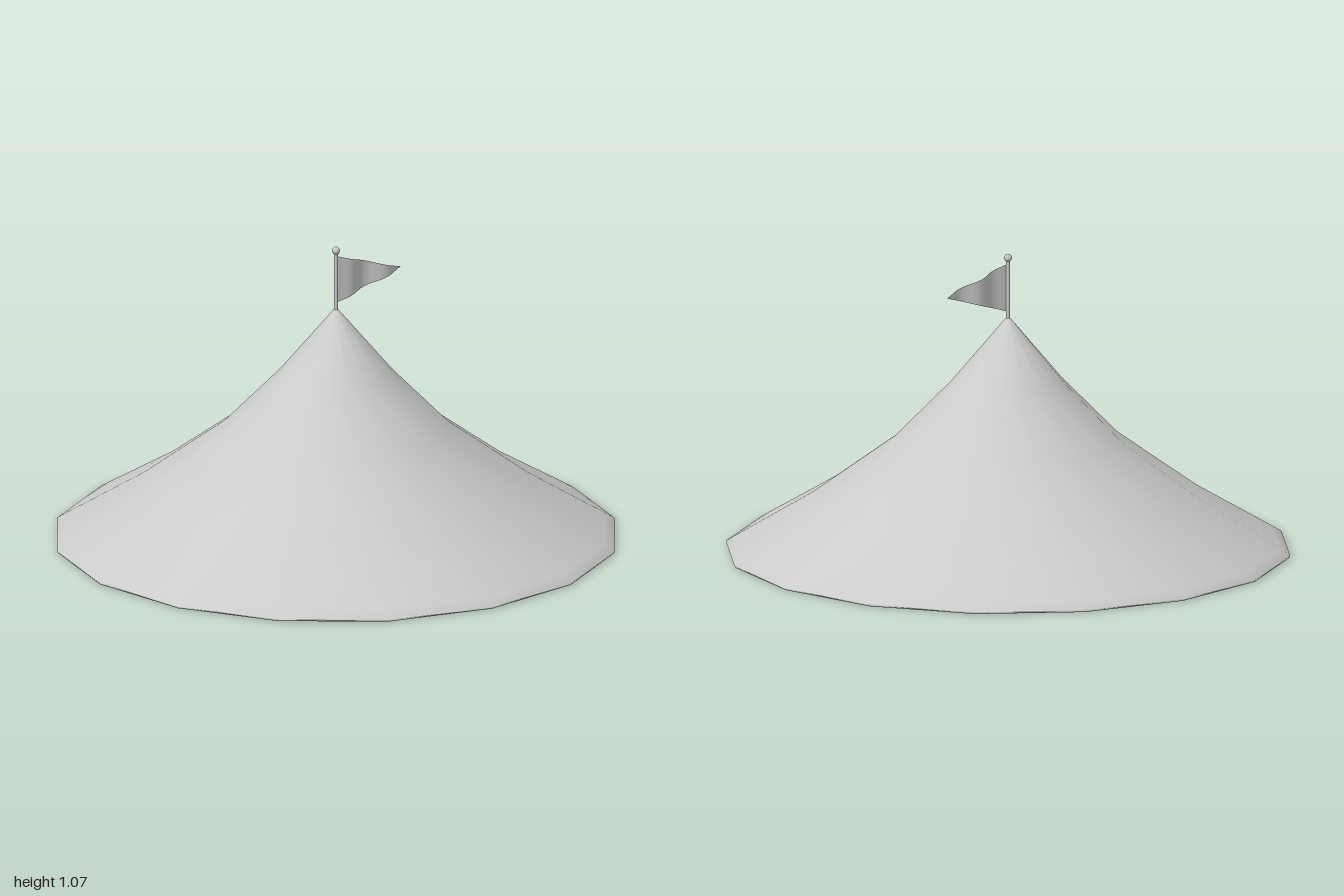
import * as THREE from 'three';

const grey = () => new THREE.MeshStandardMaterial({ color: 0xcccccc, side: THREE.DoubleSide });

function add(group, name, geometry, y = 0) {
  const mesh = new THREE.Mesh(geometry, grey());
  mesh.name = name;
  mesh.position.y = y;
  group.add(mesh);
  return mesh;
}

export function createModel() {
  const group = new THREE.Group();
  group.name = 'tentRoof';

  // Sagging canvas: up the inside to the peak is listed first, then rim and outside
  const profile = [
    [0, 0.825], [0.19, 0.595], [0.39, 0.388], [0.68, 0.178], [0.95, 0.018],
    [0.975, 0], [0.995, 0], [1, 0.008], [0.965, 0.03],
    [0.69, 0.195], [0.4, 0.405], [0.2, 0.61], [0, 0.85],
  ].map(([r, y]) => new THREE.Vector2(r, y));
  add(group, 'canvasRoof', new THREE.LatheGeometry(profile, 16));

  // Flagpole and finial
  add(group, 'flagpole', new THREE.CylinderGeometry(0.008, 0.008, 0.23, 10), 0.935);
  add(group, 'finial', new THREE.SphereGeometry(0.014, 12, 8), 1.057);

  // Tapering pennant that ripples along its length
  const length = 0.27;
  const pennant = new THREE.PlaneGeometry(length, 0.17, 16, 4);
  const pos = pennant.attributes.position;
  for (let i = 0; i < pos.count; i++) {
    const t = pos.getX(i) / length + 0.5;
    pos.setXYZ(i, 0.005 + t * length, pos.getY(i) * (1 - t),
      0.008 * t + 0.011 * Math.sin(t * Math.PI * 3.4) * Math.min(1, t * 4));
  }
  pennant.computeVertexNormals();
  add(group, 'pennant', pennant, 0.95);

  return group;
}
